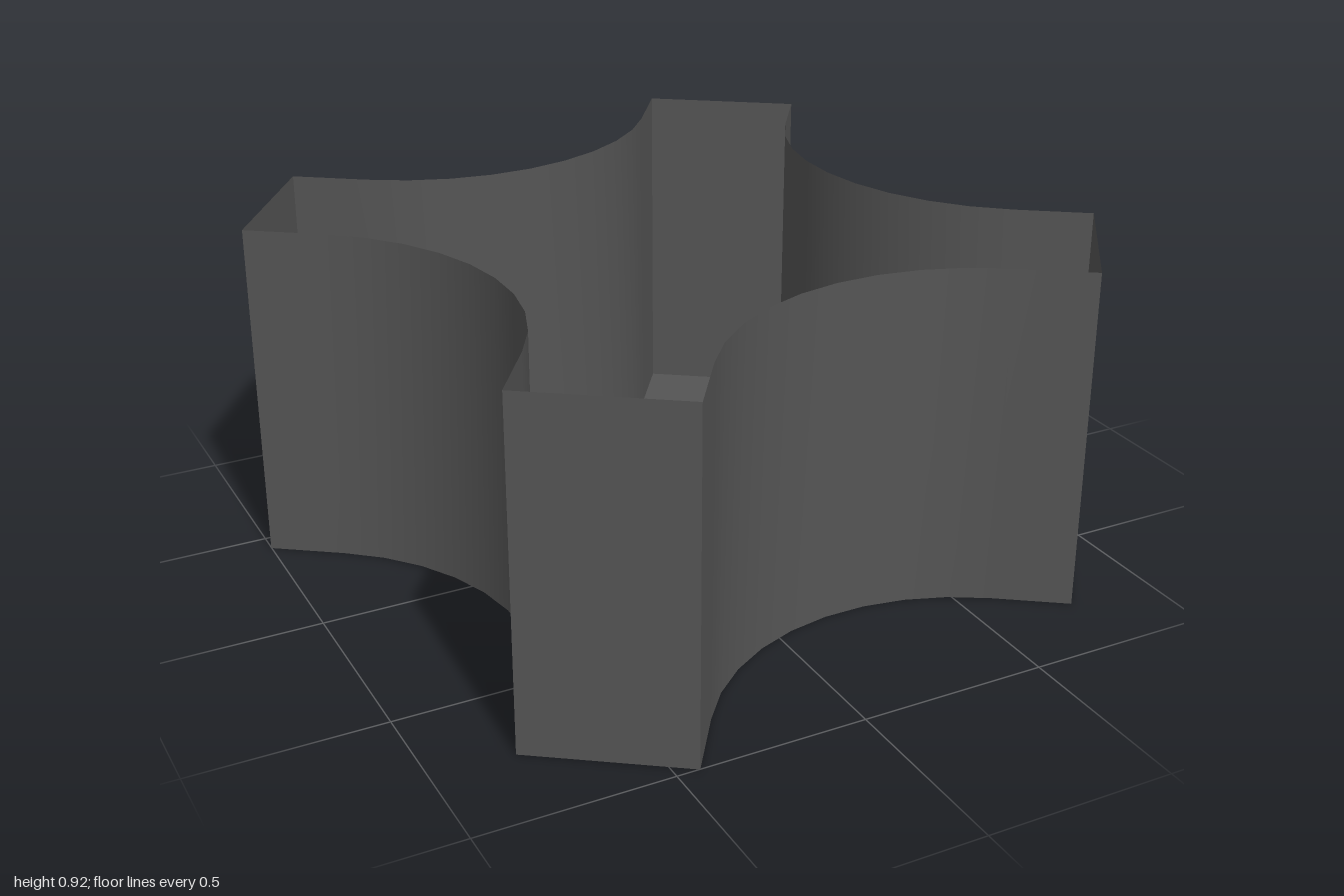
import * as THREE from 'three';

const HEIGHT = 0.92;
const REACH = 1.073;       // centre to arm end
const HALF_WIDTH = 0.213;  // half of an arm's width
const ARC_CENTRE = 0.867;  // centre of each hollow, on both axes
const ARC_STEPS = 9;

const material = new THREE.MeshStandardMaterial({ color: 0x555555, side: THREE.DoubleSide });

// Upright sheet following a line of [x, z] points, facing outward
function wallGeometry(points) {
  const positions = [], indices = [];
  points.forEach(([x, z], i) => {
    positions.push(x, 0, z, x, HEIGHT, z);
    if (i > 0) {
      const a = 2 * (i - 1), b = 2 * i;
      indices.push(a, a + 1, b, b, a + 1, b + 1);
    }
  });
  const geometry = new THREE.BufferGeometry();
  geometry.setAttribute('position', new THREE.Float32BufferAttribute(positions, 3));
  geometry.setIndex(indices);
  geometry.computeVertexNormals();
  return geometry;
}

// Concave side from the +x arm round to the +z arm
function hollowProfile() {
  const radius = ARC_CENTRE - HALF_WIDTH;
  const points = [[REACH, HALF_WIDTH]];
  for (let i = 0; i <= ARC_STEPS; i++) {
    const a = -Math.PI / 2 - (i / ARC_STEPS) * Math.PI / 2;
    points.push([ARC_CENTRE + radius * Math.cos(a), ARC_CENTRE + radius * Math.sin(a)]);
  }
  points.push([HALF_WIDTH, REACH]);
  return points;
}

export function createModel() {
  const model = new THREE.Group();
  model.name = 'crossShapedTray';
  const tray = new THREE.Group();
  tray.name = 'tray';
  tray.rotation.y = -THREE.MathUtils.degToRad(35);
  model.add(tray);

  const add = (name, geometry) => {
    const mesh = new THREE.Mesh(geometry, material);
    mesh.name = name;
    tray.add(mesh);
    return mesh;
  };

  // Four hollow sides and four flat arm ends
  const hollow = hollowProfile();
  const sideGeometry = wallGeometry(hollow);
  const endGeometry = wallGeometry([[HALF_WIDTH, REACH], [-HALF_WIDTH, REACH]]);
  const outline = [];
  for (let i = 0; i < 4; i++) {
    const angle = i * Math.PI / 2;
    add('curvedSide', sideGeometry).rotation.y = -angle;
    add('armEnd', endGeometry).rotation.y = -angle;
    for (const [x, z] of hollow) {
      outline.push(new THREE.Vector2(x, z).rotateAround(new THREE.Vector2(), angle));
    }
  }

  // Flat bottom, open top
  const floor = new THREE.ShapeGeometry(new THREE.Shape(outline));
  floor.rotateX(Math.PI / 2);
  add('floor', floor);

  return model;
}
